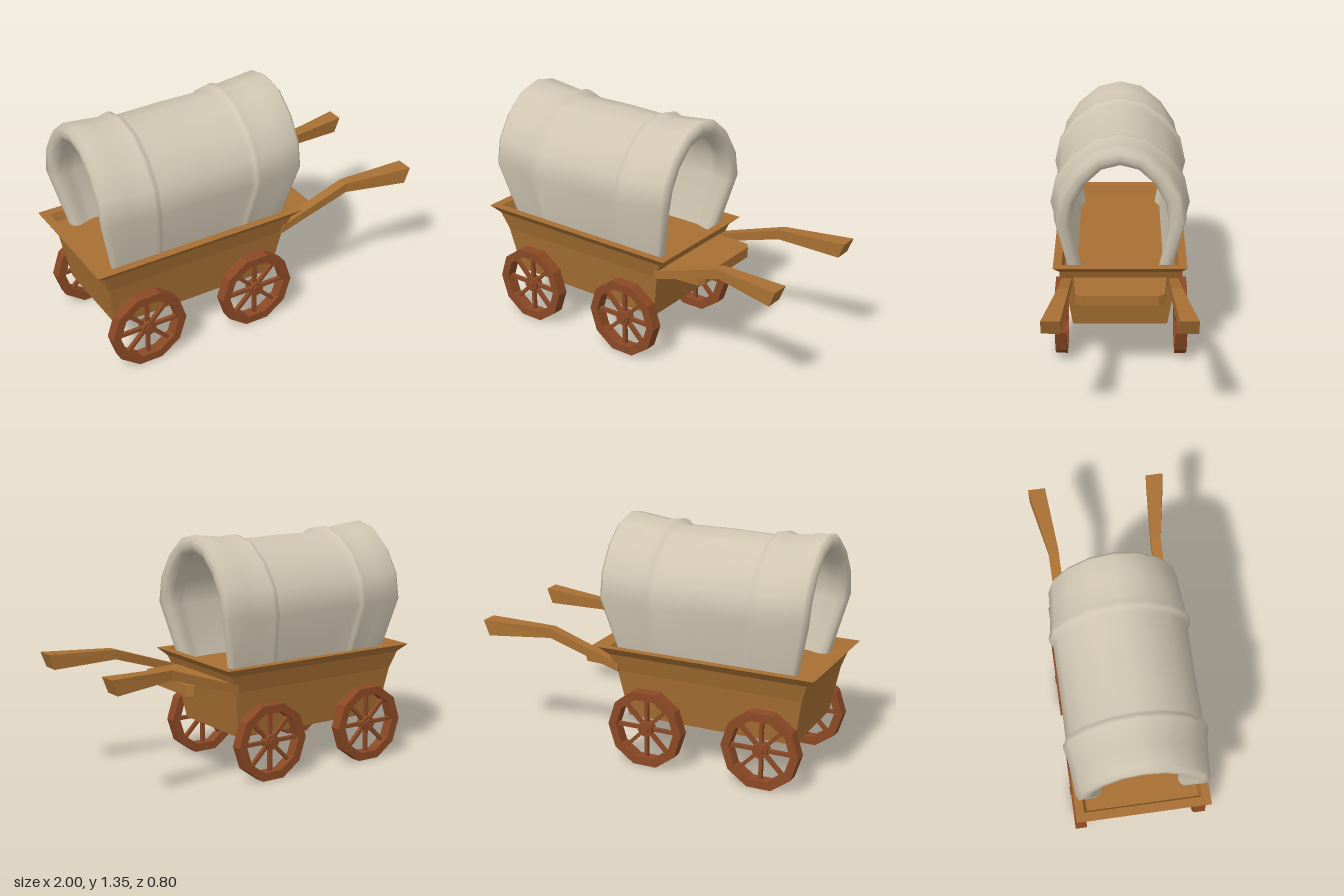
import * as THREE from 'three';

const wood = new THREE.MeshStandardMaterial({ color: 0xa87033, flatShading: true });
wood.name = 'wagonWood';
const wheelWood = new THREE.MeshStandardMaterial({ color: 0x8b4925, flatShading: true });
wheelWood.name = 'wheelWood';
const canvas = new THREE.MeshStandardMaterial({ color: 0xd0c6b2, side: THREE.DoubleSide });
canvas.name = 'canvasCloth';

function add(parent, name, geometry, material) {
  const mesh = new THREE.Mesh(geometry, material);
  mesh.name = name;
  parent.add(mesh);
  return mesh;
}

// Joins equal-sided polygon sections into a closed solid with flat faces.
function loft(sections) {
  const out = [];
  const tri = (a, b, c) => out.push(...a, ...b, ...c);
  const n = sections[0].length;
  for (let s = 0; s < sections.length - 1; s++) {
    const lo = sections[s], hi = sections[s + 1];
    for (let i = 0; i < n; i++) {
      const j = (i + 1) % n;
      tri(lo[i], lo[j], hi[j]);
      tri(lo[i], hi[j], hi[i]);
    }
  }
  const first = sections[0], last = sections[sections.length - 1];
  for (let i = 1; i < n - 1; i++) {
    tri(first[0], first[i + 1], first[i]);
    tri(last[0], last[i], last[i + 1]);
  }
  const g = new THREE.BufferGeometry();
  g.setAttribute('position', new THREE.Float32BufferAttribute(out, 3));
  g.computeVertexNormals();
  return g;
}

// Flared box with a rim and a recessed floor: [y, back x, front x, half width]
function bodyGeometry() {
  const levels = [
    [0.24, -0.865, 0.13, 0.27], [0.51, -0.915, 0.18, 0.308],
    [0.61, -0.95, 0.22, 0.335], [0.655, -1, 0.27, 0.372],
    [0.655, -0.95, 0.22, 0.325], [0.6, -0.93, 0.2, 0.31],
  ];
  return loft(levels.map(([y, x0, x1, w]) =>
    [[x1, y, w], [x1, y, -w], [x0, y, -w], [x0, y, w]]));
}

// Footboard with clipped front corners
function footboardGeometry() {
  const outline = [[0.15, 0.265], [0.41, 0.245], [0.435, 0.21],
    [0.435, -0.21], [0.41, -0.245], [0.15, -0.265]];
  return loft([0.51, 0.57].map((y) => outline.map(([x, z]) => [x, y, z])));
}

// Bent pulling shaft, widening towards the grip
function shaftGeometry(side) {
  const stations = [
    [0.17, 0.51, 0.17, 0.555, 0.27, 0.325],
    [0.6, 0.645, 0.6, 0.7, 0.27, 0.33],
    [0.965, 0.627, 1, 0.715, 0.3, 0.4],
  ];
  return loft(stations.map(([xb, yb, xt, yt, a, b]) => {
    const z0 = Math.min(a * side, b * side), z1 = Math.max(a * side, b * side);
    return [[xb, yb, z0], [xt, yt, z0], [xt, yt, z1], [xb, yb, z1]];
  }));
}

// Arched cloth: closed lengthwise profile swept over the hoop shape
function coverGeometry() {
  // [x, half width, top height], outside from back to front, then inside
  const outer = [
    [-0.945, 0.345, 1.325], [-0.92, 0.36, 1.35], [-0.8, 0.368, 1.335],
    [-0.7, 0.38, 1.32], [-0.66, 0.392, 1.335], [-0.635, 0.39, 1.33],
    [-0.61, 0.373, 1.305], [-0.34, 0.37, 1.31], [-0.07, 0.373, 1.305],
    [-0.045, 0.39, 1.33], [-0.02, 0.392, 1.335], [0.02, 0.38, 1.32],
    [0.13, 0.368, 1.335], [0.245, 0.36, 1.35], [0.267, 0.345, 1.325],
  ];
  const frontLip = [[0.267, 0.305, 1.29], [0.25, 0.28, 1.26],
    [0.215, 0.27, 1.25], [0.17, 0.285, 1.26], [0.12, 0.305, 1.275]];
  const mid = -0.339;
  const backLip = frontLip.map(([x, w, h]) => [2 * mid - x, w, h]).reverse();
  const profile = [...outer, ...frontLip, ...backLip];
  // [width factor, height factor] over one half of the hoop
  const half = [[0.77, -0.143], [1, 0.414], [0.92, 0.63], [0.69, 0.815], [0.36, 0.957]];
  const arch = [...half, [0, 1], ...half.map(([w, h]) => [-w, h]).reverse()];

  const pos = [], index = [];
  const n = profile.length;
  arch.forEach(([a, r], k) => {
    profile.forEach(([x, w, top]) => {
      const y = 0.65 + r * (top - 0.65);
      const taper = 1 - Math.max(0, 0.94 - y) * 0.4;
      pos.push(mid + (x - mid) * taper, y, a * w);
    });
    if (k === arch.length - 1) return;
    for (let i = 0; i < n; i++) {
      const j = (i + 1) % n, p = k * n, q = p + n;
      index.push(p + i, p + j, q + j, p + i, q + j, q + i);
    }
  });
  const g = new THREE.BufferGeometry();
  g.setAttribute('position', new THREE.Float32BufferAttribute(pos, 3));
  g.setIndex(index);
  g.computeVertexNormals();
  return g;
}

// Ten-sided spoked wheel centred on its own origin
function makeWheel(name) {
  const wheel = new THREE.Group();
  wheel.name = name;
  const ring = (r) => Array.from({ length: 10 }, (_, i) =>
    new THREE.Vector2(Math.cos(i * Math.PI / 5) * r, Math.sin(i * Math.PI / 5) * r));
  const shape = new THREE.Shape(ring(0.226));
  shape.holes.push(new THREE.Path(ring(0.177)));
  const depth = 0.066;
  const rim = new THREE.ExtrudeGeometry(shape, { depth, bevelEnabled: false });
  rim.translate(0, 0, -depth / 2);
  add(wheel, 'rim', rim, wheelWood);
  for (let i = 0; i < 8; i++) {
    const spoke = new THREE.BoxGeometry(0.155, 0.02, 0.022);
    spoke.translate(0.105, 0, 0);
    add(wheel, 'spoke', spoke, wheelWood).rotation.z = i * Math.PI / 4;
  }
  for (const [part, r, len] of [['hub', 0.043, 0.056], ['axleCap', 0.025, 0.074]]) {
    const g = new THREE.CylinderGeometry(r, r, len, 10);
    g.rotateX(Math.PI / 2);
    add(wheel, part, g, wheelWood);
  }
  return wheel;
}

export function createModel() {
  const model = new THREE.Group();
  model.name = 'coveredWagon';
  add(model, 'wagonBody', bodyGeometry(), wood);
  add(model, 'footboard', footboardGeometry(), wood);
  add(model, 'canvasCover', coverGeometry(), canvas);
  for (const side of [1, -1]) {
    const label = side > 0 ? 'left' : 'right';
    add(model, label + 'Shaft', shaftGeometry(side), wood);
    for (const [x, place] of [[-0.71, 'Back'], [-0.022, 'Front']]) {
      const wheel = makeWheel(label + place + 'Wheel');
      wheel.position.set(x, 0.216, side > 0 ? 0.339 : -0.35);
      model.add(wheel);
    }
  }
  return model;
}
